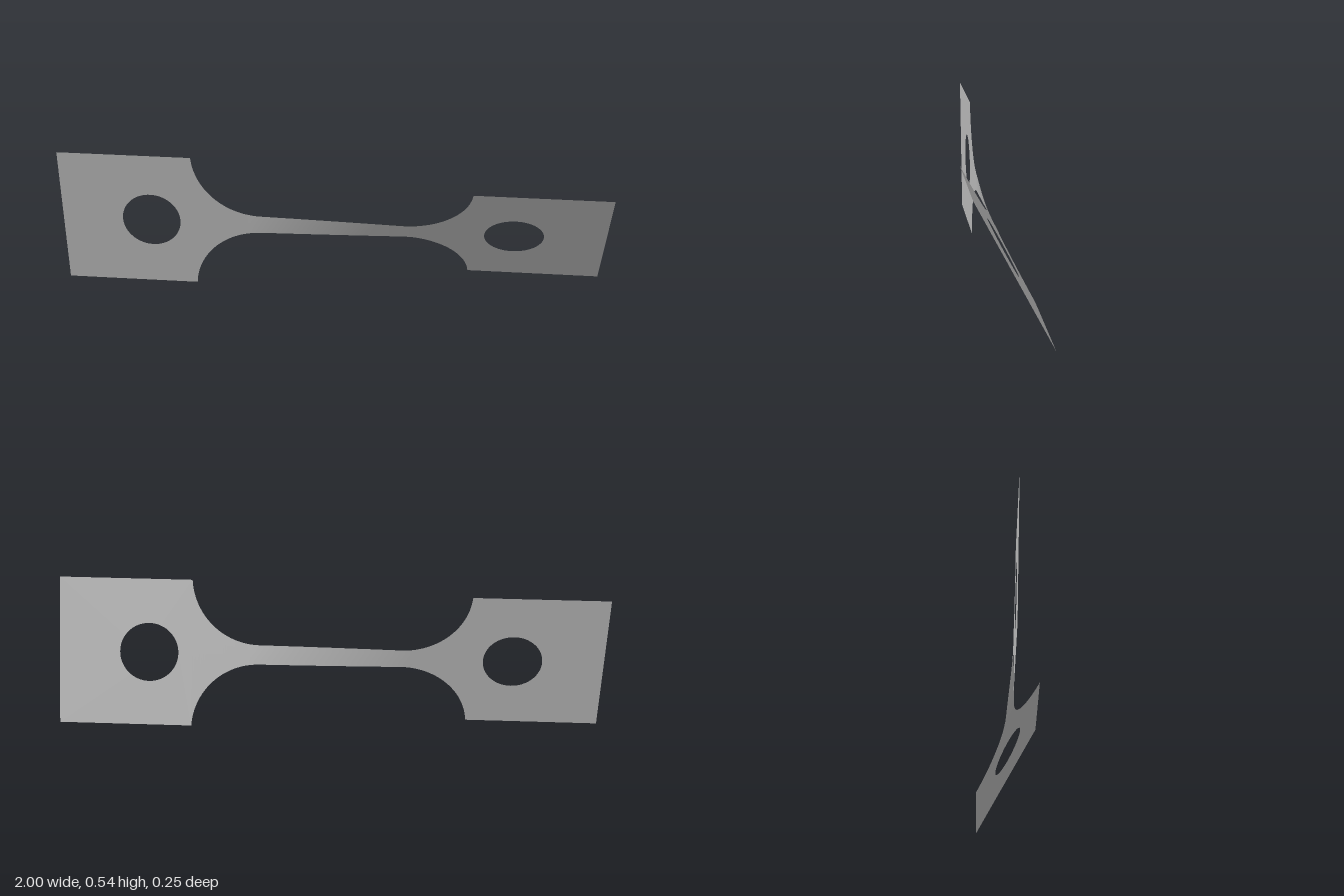
import * as THREE from 'three';

const HALF = 0.271;      // half height of the end plates
const NECK = 0.036;      // half height of the narrow strip
const SHOULDER = 0.51;   // where the fillets meet the plates
const FILLET = 0.25;
const TILT_START = THREE.MathUtils.degToRad(0.8);
const TILT_END = THREE.MathUtils.degToRad(28);

// Half height of the strip at x: straight neck with round fillets
function halfHeight(x) {
  const d = Math.abs(x) - (SHOULDER - FILLET);
  if (d <= 0) return NECK;
  return Math.min(HALF, NECK + FILLET - Math.sqrt(Math.max(0, FILLET * FILLET - d * d)));
}

// The strip twists evenly along its neck
function tilt(x) {
  const t = THREE.MathUtils.clamp((x + 0.3) / 0.6, 0, 1);
  return THREE.MathUtils.lerp(TILT_START, TILT_END, t);
}

// Flat end plate with a round hole
function endPlate(side) {
  const a = Math.min(side * SHOULDER, side), b = Math.max(side * SHOULDER, side);
  const shape = new THREE.Shape();
  shape.moveTo(a, -HALF).lineTo(b, -HALF).lineTo(b, HALF).lineTo(a, HALF).closePath();
  const hole = new THREE.Path();
  hole.absarc(side * 0.668, 0, 0.108, 0, Math.PI * 2, true);
  shape.holes.push(hole);
  const geometry = new THREE.ShapeGeometry(shape, 32);
  geometry.rotateX(tilt(side));
  return geometry;
}

// Neck and fillets: a fine sheet narrowed and twisted along x
function twistedNeck() {
  const geometry = new THREE.PlaneGeometry(2, 2, 120, 4);
  const p = geometry.attributes.position;
  for (let i = 0; i < p.count; i++) {
    // columns crowd toward the shoulders, where the fillets are steep
    const x = SHOULDER * Math.sin(p.getX(i) * Math.PI / 2);
    const v = p.getY(i) * halfHeight(x);
    const a = tilt(x);
    p.setXYZ(i, x, v * Math.cos(a), v * Math.sin(a));
  }
  geometry.computeVertexNormals();
  return geometry;
}

export function createModel() {
  const metal = new THREE.MeshStandardMaterial({ color: 0xb4b4b4, side: THREE.DoubleSide });
  metal.name = 'grey metal';

  const group = new THREE.Group();
  group.name = 'twistedTestStrip';
  const add = (name, geometry) => {
    const mesh = new THREE.Mesh(geometry, metal);
    mesh.name = name;
    mesh.position.y = HALF;
    group.add(mesh);
  };

  add('rightPlate', endPlate(-1));
  add('twistedNeck', twistedNeck());
  add('leftPlate', endPlate(1));
  return group;
}
